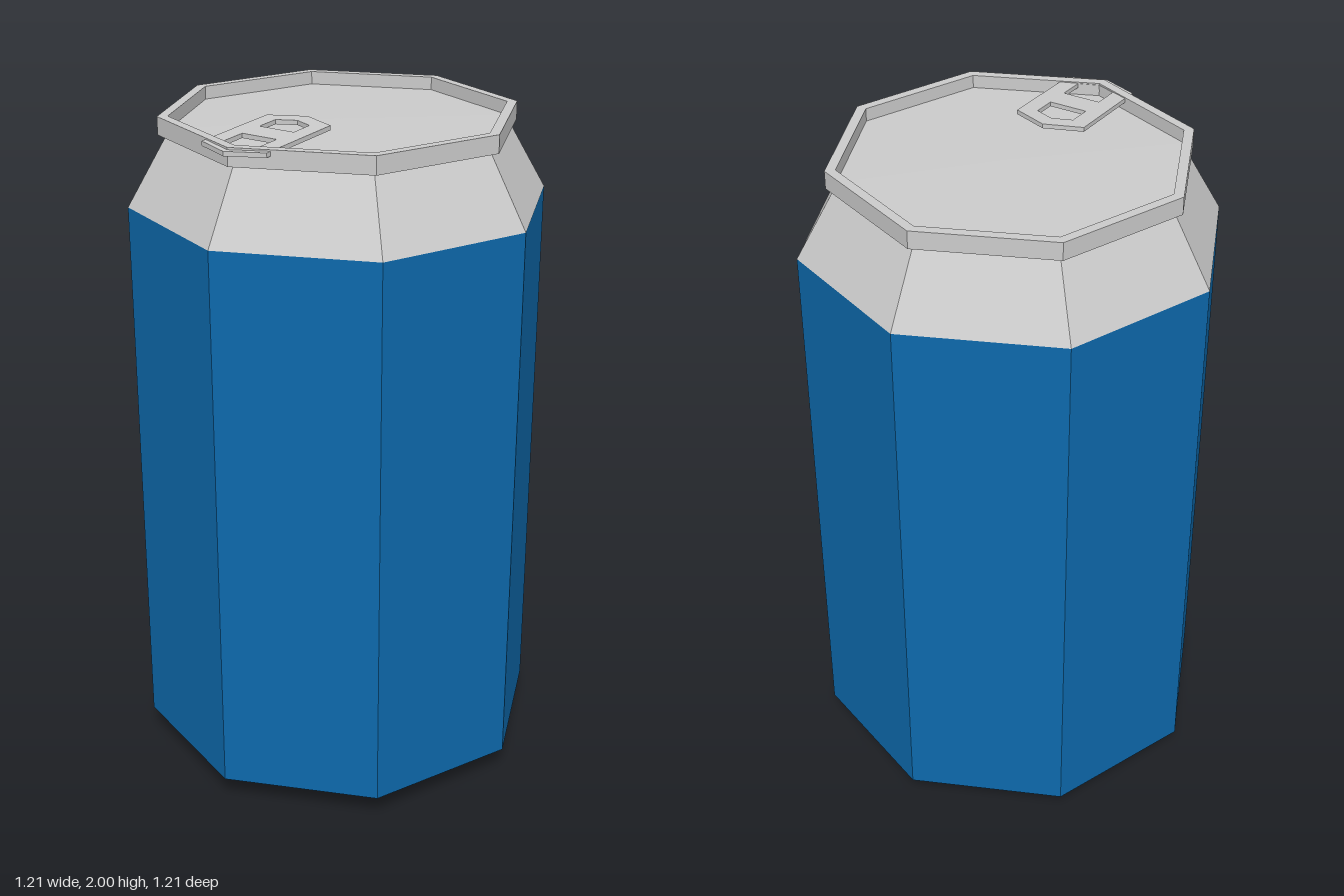
import * as THREE from 'three';

const grey = new THREE.MeshStandardMaterial({ color: 0xcccccc, flatShading: true });
const blue = new THREE.MeshStandardMaterial({ color: 0x0d69ac, flatShading: true });

// Eight-sided ring of surfaces from a profile of [radius, height] points
function octagonal(name, profile, material) {
  const points = profile.map(([r, y]) => new THREE.Vector2(r, y));
  const mesh = new THREE.Mesh(new THREE.LatheGeometry(points, 8), material);
  mesh.name = name;
  return mesh;
}

const outline = (pairs) => pairs.map(([x, z]) => new THREE.Vector2(x, z));

// Six-sided pull tab with two openings, tilted down towards the front
function createTab() {
  const thickness = 0.013;
  const shape = new THREE.Shape(outline([
    [0, 0.157], [0.107, 0.2], [0.107, 0.487], [0, 0.532], [-0.107, 0.487], [-0.107, 0.2],
  ]));
  shape.holes.push(
    new THREE.Path(outline([[0, 0.205], [-0.057, 0.228], [-0.057, 0.3], [0.057, 0.3], [0.057, 0.228]])),
    new THREE.Path(outline([[-0.057, 0.377], [-0.057, 0.46], [0, 0.483], [0.057, 0.46], [0.057, 0.377]])),
  );
  const geometry = new THREE.ExtrudeGeometry(shape, { depth: thickness, bevelEnabled: false });
  geometry.rotateX(Math.PI / 2);
  // Shear the flat plate so its back end is raised
  const p = geometry.attributes.position;
  for (let i = 0; i < p.count; i++) {
    p.setY(i, p.getY(i) + 2 - (p.getZ(i) - 0.157) * 0.045);
  }
  geometry.computeVertexNormals();
  const tab = new THREE.Mesh(geometry, grey);
  tab.name = 'pullTab';
  return tab;
}

export function createModel() {
  const can = new THREE.Group();
  can.name = 'drinkCan';
  can.add(
    // Domed underside and bevelled foot
    octagonal('base', [[0, 0.075], [0.37, 0.04], [0.44, 0], [0.607, 0.077]], grey),
    octagonal('body', [[0.607, 0.077], [0.607, 1.735]], blue),
    octagonal('shoulder', [[0.607, 1.735], [0.49, 1.938]], grey),
    octagonal('rim', [[0.49, 1.938], [0.515, 1.938], [0.515, 1.99], [0.485, 1.99], [0.485, 1.952]], grey),
    octagonal('lid', [[0.485, 1.952], [0, 1.962]], grey),
    createTab(),
  );
  return can;
}
